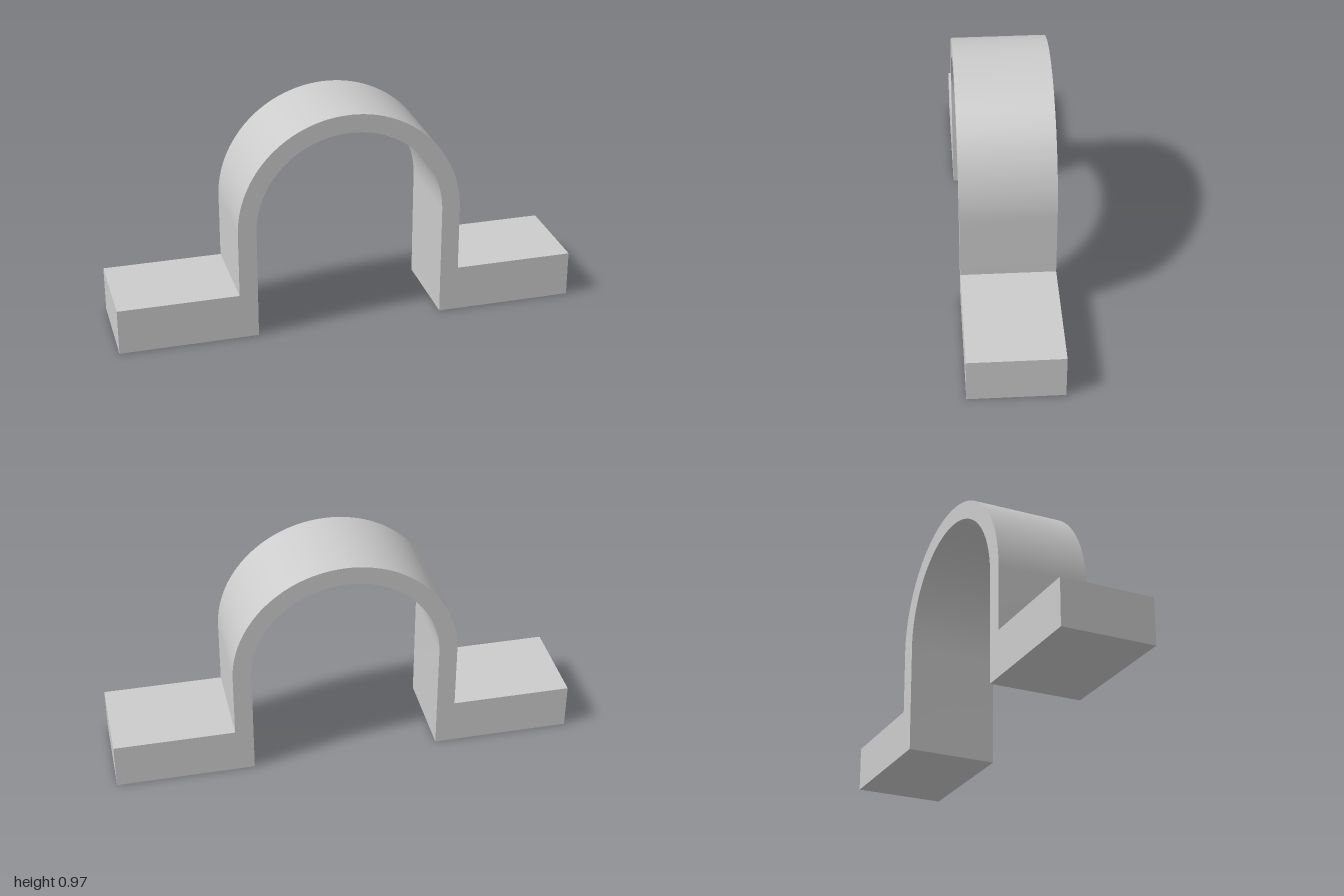
import * as THREE from 'three';
import { toCreasedNormals } from 'three/addons/utils/BufferGeometryUtils.js';

const HALF_LENGTH = 1;
const FOOT_HEIGHT = 0.2;
const DEPTH = 0.4;
const OUTER_RADIUS = 0.483;
const INNER_RADIUS = 0.404;
const ARCH_CENTRE = 0.484;

export function createModel() {
  const group = new THREE.Group();
  group.name = 'pipeSaddleClamp';

  // Profile: two flat feet joined by a half-round strap on straight legs
  const profile = new THREE.Shape();
  profile.moveTo(INNER_RADIUS, 0);
  profile.lineTo(HALF_LENGTH, 0);
  profile.lineTo(HALF_LENGTH, FOOT_HEIGHT);
  profile.lineTo(OUTER_RADIUS, FOOT_HEIGHT);
  profile.lineTo(OUTER_RADIUS, ARCH_CENTRE);
  profile.absarc(0, ARCH_CENTRE, OUTER_RADIUS, 0, Math.PI, false);
  profile.lineTo(-OUTER_RADIUS, FOOT_HEIGHT);
  profile.lineTo(-HALF_LENGTH, FOOT_HEIGHT);
  profile.lineTo(-HALF_LENGTH, 0);
  profile.lineTo(-INNER_RADIUS, 0);
  profile.lineTo(-INNER_RADIUS, ARCH_CENTRE);
  profile.absarc(0, ARCH_CENTRE, INNER_RADIUS, Math.PI, 0, true);
  profile.closePath();

  // One solid piece, smooth around the arch and sharp at the edges
  const solid = new THREE.ExtrudeGeometry(profile, {
    depth: DEPTH,
    bevelEnabled: false,
    curveSegments: 32,
  });
  solid.translate(0, 0, -DEPTH / 2);

  const bracket = new THREE.Mesh(
    toCreasedNormals(solid, Math.PI / 6),
    new THREE.MeshStandardMaterial({ color: 0xcccccc }),
  );
  bracket.name = 'strapWithFeet';
  group.add(bracket);
  return group;
}
